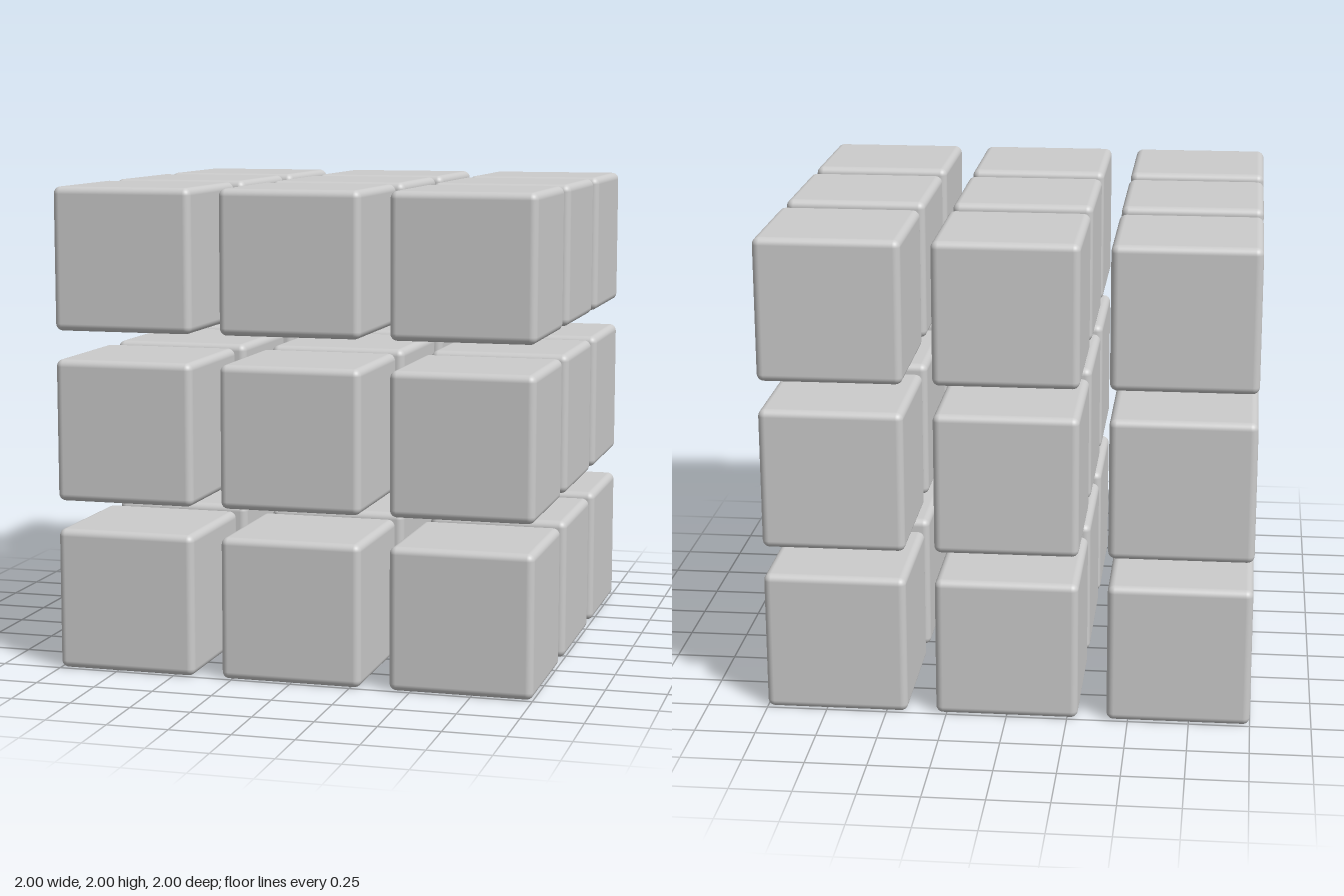
import * as THREE from 'three';
import { RoundedBoxGeometry } from 'three/addons/geometries/RoundedBoxGeometry.js';

const SIZE = 2 / 3.4; // edge of one small cube
const STEP = SIZE * 1.2; // distance between cube centres
const RADIUS = 0.03; // rounding of the edges

export function createModel() {
  const model = new THREE.Group();
  model.name = 'cubeGrid';

  const material = new THREE.MeshStandardMaterial({ color: 0xcccccc });
  const geometry = new RoundedBoxGeometry(SIZE, SIZE, SIZE, 4, RADIUS);

  // 3 x 3 x 3 block of separate rounded cubes, one group per layer
  ['bottomLayer', 'middleLayer', 'topLayer'].forEach((name, level) => {
    const layer = new THREE.Group();
    layer.name = name;
    layer.position.y = SIZE / 2 + level * STEP;
    for (let x = -1; x <= 1; x++) {
      for (let z = -1; z <= 1; z++) {
        const cube = new THREE.Mesh(geometry, material);
        cube.name = 'smallCube';
        cube.position.set(x * STEP, 0, z * STEP);
        layer.add(cube);
      }
    }
    model.add(layer);
  });

  return model;
}
